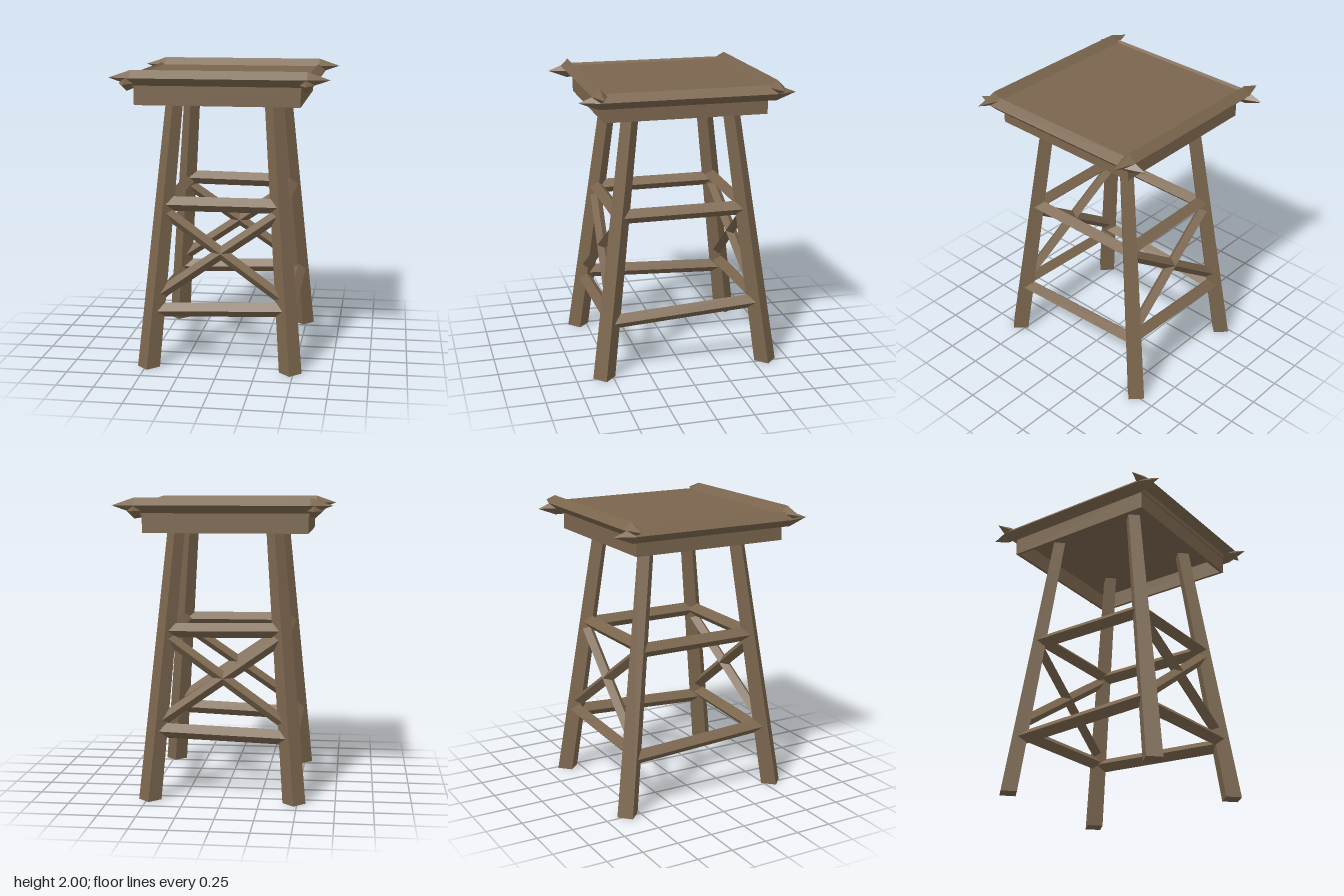
import * as THREE from 'three';

const wood = new THREE.MeshStandardMaterial({ color: 0x7b664e });
wood.name = 'weathered wood';

// Four-sided turned solid with crisp faces, from [radius, height] pairs
function squareLathe(points) {
  const geo = new THREE.LatheGeometry(points.map(([r, y]) => new THREE.Vector2(r, y)), 4).toNonIndexed();
  geo.computeVertexNormals();
  return geo;
}

export function createModel() {
  const model = new THREE.Group();
  model.name = 'woodenTower';

  function add(name, geo) {
    const mesh = new THREE.Mesh(geo, wood);
    mesh.name = name;
    model.add(mesh);
    return mesh;
  }

  // Diamond-section beam from a to b, optionally sharpened at both ends
  function beam(name, a, b, r, tip = 0) {
    const start = new THREE.Vector3(...a);
    const dir = new THREE.Vector3(...b).sub(start);
    const len = dir.length();
    const mesh = add(name, squareLathe([[0, 0], [r, tip], [r, len - tip], [0, len]]));
    mesh.position.copy(start);
    mesh.quaternion.setFromUnitVectors(new THREE.Vector3(0, 1, 0), dir.normalize());
  }

  function box(name, x0, x1, y0, y1, z0, z1) {
    add(name, new THREE.BoxGeometry(x1 - x0, y1 - y0, z1 - z0))
      .position.set((x0 + x1) / 2, (y0 + y1) / 2, (z0 + z1) / 2);
  }

  // Leaning, tapering legs with level feet
  const legTop = 1.9;
  for (const sx of [-1, 1]) {
    for (const sz of [-1, 1]) {
      const footX = 0.48 * sx, footZ = sz > 0 ? 0.56 : -0.588;
      const kx = -0.084 * sx, kz = -0.13 * sz;
      const geo = squareLathe([[0, 0], [0.076, 0], [0.057, legTop], [0, legTop]]);
      geo.applyMatrix4(new THREE.Matrix4().set(
        1, kx, 0, footX,
        0, 1, 0, 0,
        0, kz, 1, footZ,
        0, 0, 0, 1));
      geo.computeVertexNormals();
      add((sz > 0 ? 'front' : 'back') + (sx > 0 ? 'Left' : 'Right') + 'Leg', geo);
    }
  }

  // Platform: slab over a hollow skirt of four boards
  const t = 0.02, x0 = -0.558, x1 = 0.526, z0 = -0.545, z1 = 0.543;
  box('deck', -0.585, 0.555, 1.89, 1.95, -0.56, 0.55);
  box('frontSkirt', x0, x1, 1.77, 1.9, z1 - t, z1);
  box('backSkirt', x0, x1, 1.77, 1.9, z0, z0 + t);
  box('leftSkirt', x1 - t, x1, 1.77, 1.9, z0 + t, z1 - t);
  box('rightSkirt', x0, x0 + t, 1.77, 1.9, z0 + t, z1 - t);

  // Sharpened logs around the deck
  beam('frontLog', [-0.715, 1.95, 0.575], [0.715, 1.95, 0.575], 0.05, 0.145);
  beam('backLog', [-0.715, 1.95, -0.59], [0.715, 1.95, -0.59], 0.05, 0.145);
  beam('leftLog', [0.565, 1.915, -0.72], [0.565, 1.915, 0.71], 0.05, 0.13);
  beam('rightLog', [-0.595, 1.915, -0.72], [-0.595, 1.915, 0.71], 0.05, 0.13);

  // Upper rails
  beam('frontUpperRail', [-0.37, 1.1, 0.417], [0.37, 1.1, 0.417], 0.05);
  beam('backUpperRail', [-0.38, 1.13, -0.44], [0.38, 1.12, -0.44], 0.05);
  beam('leftUpperRail', [0.385, 1.1, -0.43], [0.385, 1.1, 0.4], 0.05);
  beam('rightUpperRail', [-0.385, 1.1, -0.43], [-0.385, 1.1, 0.4], 0.05);

  // Lower rails, slightly uneven
  beam('frontLowerRail', [-0.43, 0.385, 0.505], [0.43, 0.42, 0.505], 0.05);
  beam('backLowerRail', [-0.43, 0.43, -0.53], [0.43, 0.46, -0.53], 0.05);
  beam('leftLowerRail', [0.445, 0.44, -0.51], [0.445, 0.385, 0.485], 0.05);
  beam('rightLowerRail', [-0.445, 0.385, -0.51], [-0.445, 0.435, 0.485], 0.05);

  // Cross braces, leaning with the legs
  for (const s of [-1, 1]) {
    for (const [side, low, high, zLow, zHigh] of [
      ['front', 0.5, 1.06, 0.49, 0.425], ['back', 0.53, 1.09, -0.515, -0.45]]) {
      beam(side + 'CrossBrace', [-0.4 * s, low, zLow], [0.4 * s, high, zHigh], 0.04);
    }
  }

  return model;
}
